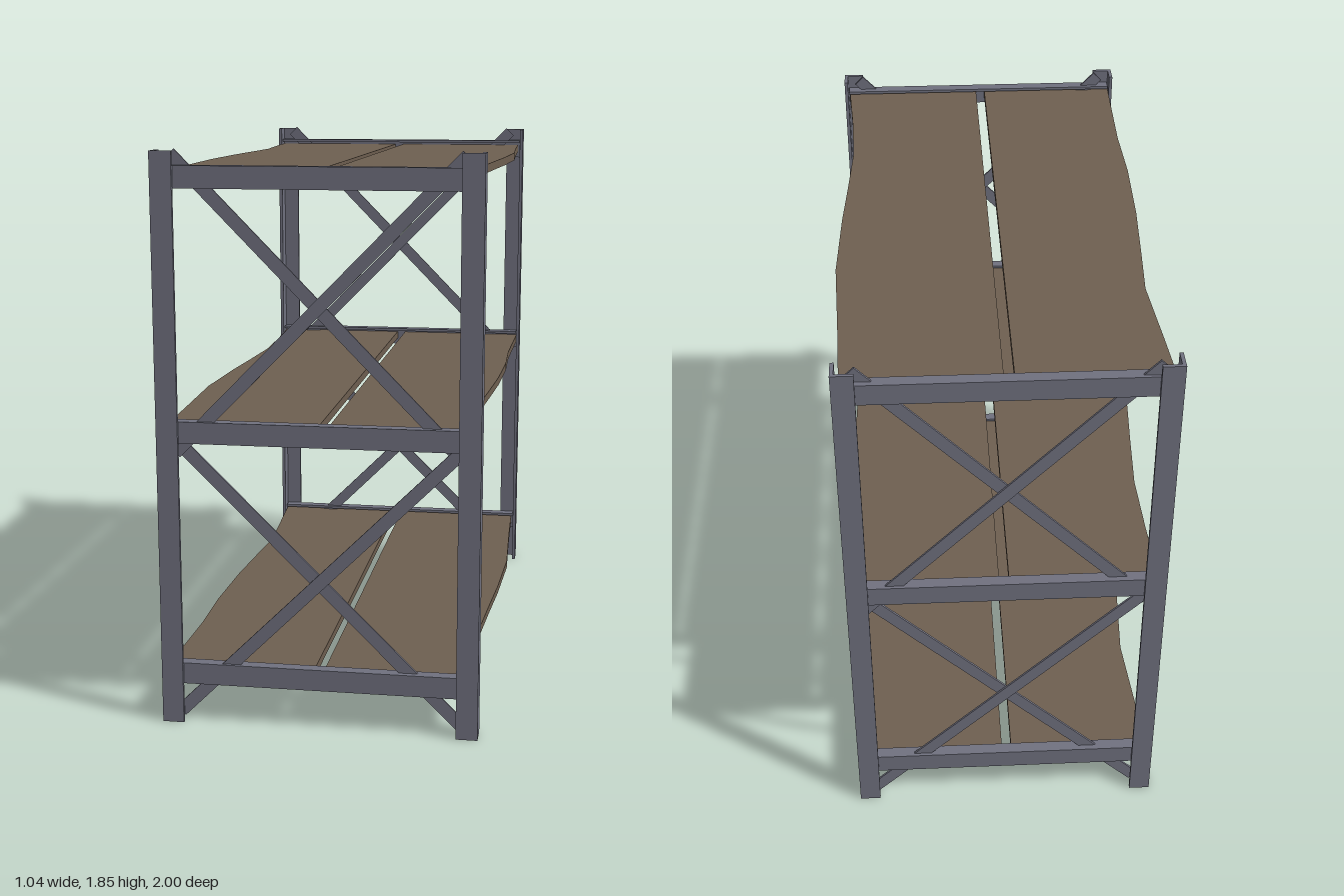
import * as THREE from 'three';

const steel = new THREE.MeshStandardMaterial({ color: 0x70717f });
const wood = new THREE.MeshStandardMaterial({ color: 0x6e5f50 });

function box(parent, name, size, pos, rotZ = 0) {
  const mesh = new THREE.Mesh(new THREE.BoxGeometry(...size), steel);
  mesh.name = name;
  mesh.position.set(...pos);
  mesh.rotation.z = rotZ;
  parent.add(mesh);
}

// Upright of L section, its corner pointing outwards
function post(side) {
  const w = 0.07, t = 0.012, x = 0.515;
  const pts = [[x, 1], [x - w, 1], [x - w, 1 - t], [x - t, 1 - t], [x - t, 1 - w], [x, 1 - w]];
  const shape = new THREE.Shape(pts.map(([px, pz]) => new THREE.Vector2(px * side, -pz)));
  const geo = new THREE.ExtrudeGeometry(shape, { depth: 1.85, bevelEnabled: false });
  geo.rotateX(-Math.PI / 2);
  const mesh = new THREE.Mesh(geo, steel);
  mesh.name = 'post';
  return mesh;
}

// Diagonal flat bar between two points of the end frame
function brace(parent, x1, y1, x2, y2, z) {
  const dx = x2 - x1, dy = y2 - y1;
  box(parent, 'brace', [Math.hypot(dx, dy), 0.042, 0.008],
    [(x1 + x2) / 2, (y1 + y2) / 2, z], Math.atan2(dy, dx));
}

function endFrame() {
  const frame = new THREE.Group();
  frame.name = 'endFrame';
  for (const side of [-1, 1]) {
    frame.add(post(side));
    const z = side > 0 ? 0.971 : 0.963;
    brace(frame, -0.46 * side, 0.03, 0.46 * side, 0.94, z);
    brace(frame, -0.46 * side, 0.90, 0.46 * side, 1.84, z);
  }
  // Angle beams: upright web with a flange turned inwards at the top
  for (const top of [0.2, 1.003, 1.805]) {
    box(frame, 'beamWeb', [1.0, 0.07, 0.01], [0, top - 0.035, 0.981]);
    box(frame, 'beamFlange', [1.0, 0.01, 0.034], [0, top - 0.005, 0.962]);
  }
  return frame;
}

// Board with a wavy outer edge; edge points are [x, z]
function board(edge, innerX) {
  const end = 0.975;
  const outline = [[innerX, -end], ...edge, [innerX, end]];
  const shape = new THREE.Shape(outline.map(([x, z]) => new THREE.Vector2(x, -z)));
  const geo = new THREE.ExtrudeGeometry(shape, { depth: 0.028, bevelEnabled: false });
  geo.rotateX(-Math.PI / 2);
  const mesh = new THREE.Mesh(geo, wood);
  mesh.name = 'board';
  return mesh;
}

function shelf() {
  const group = new THREE.Group();
  group.name = 'shelf';
  const left = [[-0.5, -0.975], [-0.485, -0.75], [-0.465, -0.48], [-0.48, -0.25],
    [-0.495, 0], [-0.502, 0.3], [-0.495, 0.55], [-0.502, 0.975]];
  const right = [[0.493, -0.975], [0.502, -0.7], [0.518, -0.32], [0.505, 0],
    [0.49, 0.22], [0.475, 0.47], [0.483, 0.72], [0.498, 0.975]];
  group.add(board(left, -0.022), board(right, 0.01));
  return group;
}

export function createModel() {
  const model = new THREE.Group();
  model.name = 'shelvingRack';

  // End frames, front and back
  for (const turn of [0, Math.PI]) {
    const frame = endFrame();
    frame.rotation.y = turn;
    model.add(frame);
  }

  // Three shelves, the middle one turned end for end
  [0.155, 0.957, 1.758].forEach((y, i) => {
    const s = shelf();
    s.position.y = y;
    s.rotation.y = i === 1 ? Math.PI : 0;
    model.add(s);
  });
  return model;
}
